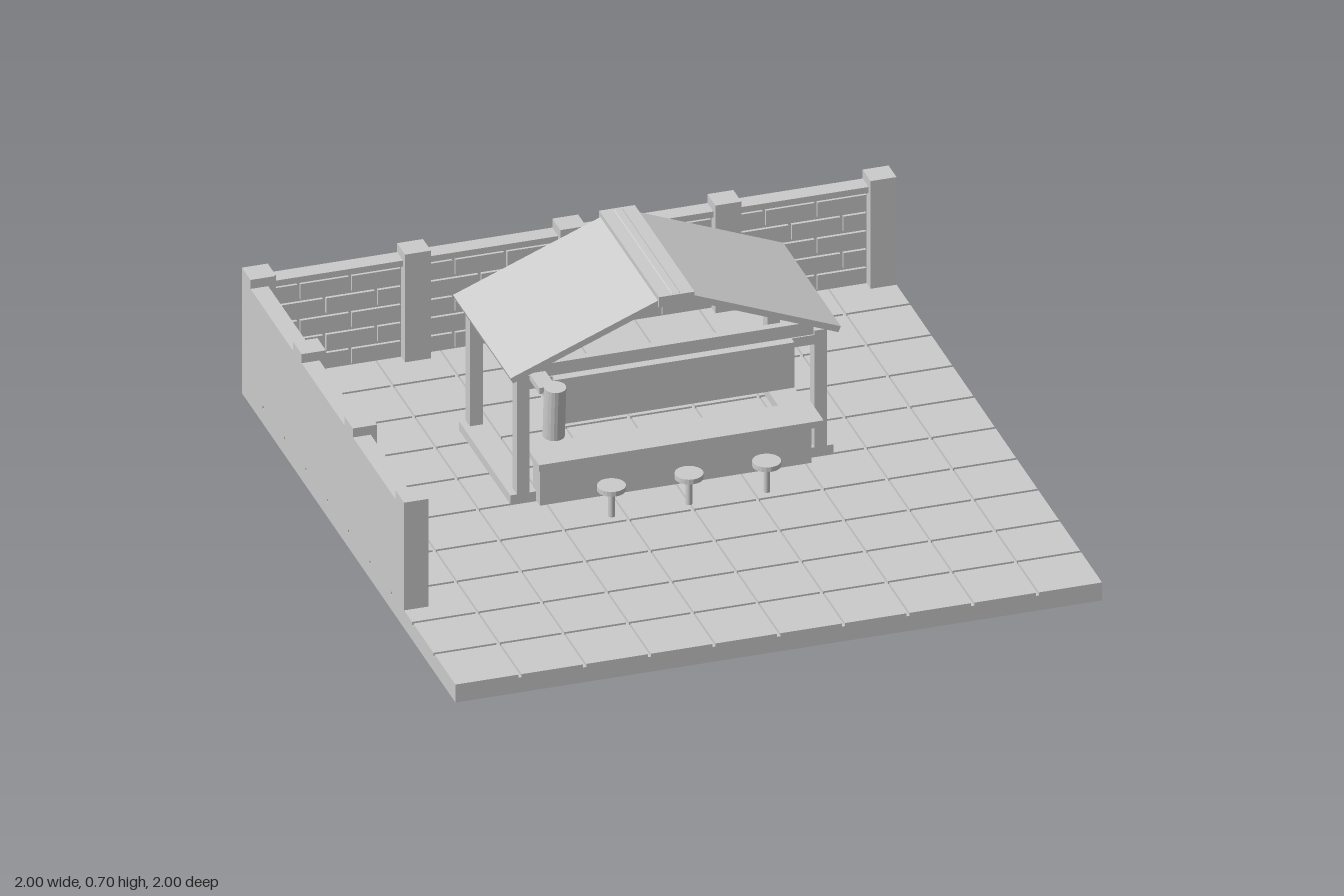
import * as THREE from 'three';

const mat = new THREE.MeshStandardMaterial({ color: 0xcccccc, flatShading: true });

// Box given by its min and max on each axis
function box(parent, name, x0, x1, y0, y1, z0, z1) {
  const m = new THREE.Mesh(new THREE.BoxGeometry(x1 - x0, y1 - y0, z1 - z0), mat);
  m.position.set((x0 + x1) / 2, (y0 + y1) / 2, (z0 + z1) / 2);
  m.name = name;
  parent.add(m);
  return m;
}

function cylinder(parent, name, r, y0, y1, x, z) {
  const m = new THREE.Mesh(new THREE.CylinderGeometry(r, r, y1 - y0, 20), mat);
  m.position.set(x, (y0 + y1) / 2, z);
  m.name = name;
  parent.add(m);
  return m;
}

function group(parent, name) {
  const g = new THREE.Group();
  g.name = name;
  parent.add(g);
  return g;
}

// Paved floor: slab with a grid of tiles
function addFloor(root) {
  const g = group(root, 'floor');
  box(g, 'slab', -1, 1, 0, 0.05, -1, 1);
  const gap = 0.005;
  for (let i = 0; i < 10; i++) for (let j = 0; j < 10; j++) {
    const x = -1 + i * 0.2, z = -1 + j * 0.2;
    box(g, 'tile', x + (i ? gap : 0), x + 0.2 - (i < 9 ? gap : 0), 0.05, 0.06,
      z + (j ? gap : 0), z + 0.2 - (j < 9 ? gap : 0));
  }
}

// Straight wall along x with its outer face at z = 0; one brick bay between each pair of pillars
function makeWall(name, bays) {
  const g = new THREE.Group();
  g.name = name;
  const length = bays * 0.48;
  box(g, 'wallCore', 0.01, length + 0.07, 0.06, 0.37, 0, 0.038);
  box(g, 'wallCap', 0.01, length + 0.07, 0.37, 0.39, 0, 0.055);
  for (let p = 0; p <= bays; p++) {
    box(g, 'pillar', p * 0.48, p * 0.48 + 0.08, 0.06, 0.42, 0, 0.075);
  }
  for (let b = 0; b < bays; b++) for (let row = 0; row < 5; row++) {
    const widths = row % 2 ? [0.16, 0.16, 0.08] : [0.08, 0.16, 0.16];
    let x = b * 0.48 + 0.08;
    for (const w of widths) {
      const y = 0.066 + row * 0.061;
      box(g, 'brick', x + 0.005, x + w - 0.005, y, y + 0.051, 0.036, 0.048);
      x += w;
    }
  }
  return g;
}

// Open shelter: sills, posts, beams and gable roof
function addShelter(root) {
  const g = group(root, 'shelter');
  for (const s of [-1, 1]) {
    box(g, 'sill', s * 0.46 - 0.04, s * 0.46 + 0.04, 0.06, 0.09, -0.48, 0);
    for (const z of [-0.48, -0.04]) {
      box(g, 'post', s * 0.46 - 0.02, s * 0.46 + 0.02, 0.06, 0.48, z, z + 0.04);
    }
    // roof slope from ridge to eave
    const dx = 0.5, dy = 0.2;
    const slope = box(g, 'roofSlope', -Math.hypot(dx, dy) / 2, Math.hypot(dx, dy) / 2,
      -0.01, 0.01, -0.505, 0.035);
    slope.position.set(s * 0.257, 0.592, -0.235);
    slope.rotation.z = -s * Math.atan2(dy, dx);
  }
  for (const z of [-0.48, -0.035]) {
    box(g, 'crossBeam', -0.46, 0.46, 0.435, 0.466, z, z + 0.035);
    box(g, 'upperBeam', -0.44, 0.44, 0.464, 0.508, z + 0.005, z + 0.03);
  }
  box(g, 'ridgeCap', -0.055, 0.055, 0.665, 0.7, -0.515, 0.045);
}

// Serving counter, hanging board and stools
function addBar(root) {
  const g = group(root, 'bar');
  box(g, 'counterBody', -0.42, 0.42, 0.06, 0.205, -0.03, 0.035);
  box(g, 'counterTop', -0.44, 0.44, 0.205, 0.226, -0.04, 0.088);
  box(g, 'hangingBoard', -0.37, 0.37, 0.315, 0.466, 0, 0.025);
  for (const x of [-0.24, 0, 0.24]) {
    const stool = group(g, 'stool');
    cylinder(stool, 'stoolSeat', 0.043, 0.147, 0.163, x, 0.16);
    cylinder(stool, 'stoolLeg', 0.01, 0.06, 0.148, x, 0.16);
  }
}

// Drum lantern leaning on a short arm at the front corner
function addLantern(root) {
  const g = group(root, 'lantern');
  box(g, 'lanternArm', -0.44, -0.39, 0.465, 0.485, -0.02, 0.09);
  const drum = cylinder(g, 'lanternDrum', 0.033, 0.328, 0.496, -0.4, 0.11);
  drum.rotation.x = 0.08;
}

export function createModel() {
  const root = new THREE.Group();
  root.name = 'barCourtyard';
  addFloor(root);

  const back = makeWall('backWall', 4);
  back.position.set(-1, 0, -1);
  root.add(back);

  // side wall: turned so that its bricks face +x
  const side = makeWall('sideWall', 3);
  side.rotation.y = Math.PI / 2;
  side.position.set(-1, 0, 0.52);
  root.add(side);

  addShelter(root);
  addBar(root);
  addLantern(root);
  return root;
}
